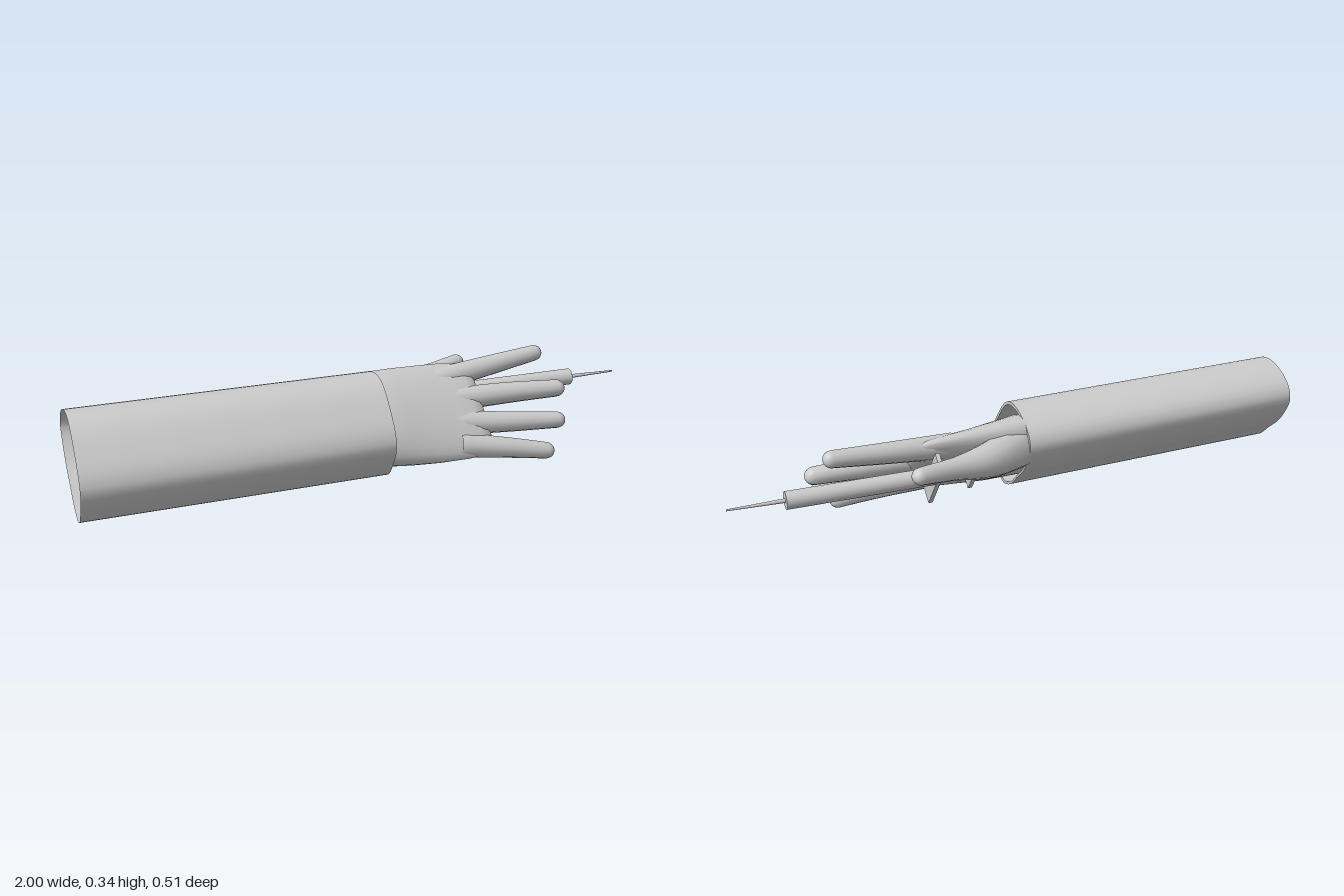
import * as THREE from 'three';

const V = (x, y, z) => new THREE.Vector3(x, y, z);
const U = V(0, 0.7071, -0.7071); // across the hand, little finger to index
const W = V(0, 0.7071, 0.7071);  // out of the back of the hand
const TILT = -Math.PI / 4;

// Skin over closed rings of points, with an optional closed tip
function loft(rings, closeEnd = false) {
  const n = rings[0].length;
  const pos = rings.flat().flatMap(p => [p.x, p.y, p.z]);
  const idx = [];
  for (let i = 0; i < rings.length - 1; i++) {
    for (let j = 0; j < n; j++) {
      const a = i * n + j, b = i * n + (j + 1) % n;
      idx.push(a, b, a + n, b, b + n, a + n);
    }
  }
  if (closeEnd) {
    const base = (rings.length - 1) * n;
    for (let j = 1; j < n - 1; j++) idx.push(base, base + j, base + j + 1);
  }
  const g = new THREE.BufferGeometry();
  g.setAttribute('position', new THREE.Float32BufferAttribute(pos, 3));
  g.setIndex(idx);
  g.computeVertexNormals();
  return g;
}

// Elliptical ring round c
function oval(c, e1, e2, a, b, n) {
  return Array.from({ length: n }, (_, j) => {
    const t = j / n * Math.PI * 2;
    return c.clone().addScaledVector(e1, a * Math.cos(t)).addScaledVector(e2, b * Math.sin(t));
  });
}

// Tapered finger along a path, with a rounded tip
function limb(points, radii, sides = 12) {
  const curve = new THREE.CatmullRomCurve3(points);
  const length = curve.getLength();
  const tipR = radii[radii.length - 1];
  const rings = [];
  const stops = [];
  for (let i = 0; i < 10; i++) stops.push([i / 10 * (1 - tipR / length), 1]);
  for (let i = 0; i <= 5; i++) {
    const a = i / 5 * Math.PI / 2;
    stops.push([1 - tipR / length * (1 - Math.sin(a)), Math.max(Math.cos(a), 0.02)]);
  }
  for (const [t, k] of stops) {
    const f = t * (radii.length - 1), i = Math.min(Math.floor(f), radii.length - 2);
    const r = THREE.MathUtils.lerp(radii[i], radii[i + 1], f - i) * k;
    const d = curve.getTangent(t);
    const e2 = d.clone().cross(U).normalize();
    const e1 = e2.clone().cross(d);
    rings.push(oval(curve.getPoint(t), e1, e2, r, r, sides));
  }
  return loft(rings, true);
}

export function createModel() {
  const model = new THREE.Group();
  const grey = new THREE.MeshStandardMaterial({ color: 0xcccccc, side: THREE.DoubleSide });
  grey.name = 'light grey';
  const add = (name, geometry, parent = model) => {
    const m = new THREE.Mesh(geometry, grey);
    m.name = name;
    parent.add(m);
    return m;
  };

  // Sleeve: open tube with a domed back and a flatter underside, [z, y] at the cuff
  const section = [
    [0.219, 0.145], [0.19, 0.08], [0.15, 0.029], [0.109, 0.017], [0.046, 0.041], [-0.007, 0.086],
    [-0.06, 0.13], [-0.1, 0.18], [-0.125, 0.235], [-0.11, 0.28], [-0.06, 0.318], [0.015, 0.34],
    [0.069, 0.334], [0.113, 0.309], [0.167, 0.252], [0.206, 0.198],
  ];
  const outline = new THREE.CatmullRomCurve3(section.map(([z, y]) => V(0, y, z)), true)
    .getPoints(48).slice(0, 48);
  const cuffRing = (x, s, dy = 0, dz = 0) => outline.map(p =>
    V(x, 0.18 + (p.y - 0.18) * s + dy, 0.045 + (p.z - 0.045) * s + dz));
  add('sleeve', loft([cuffRing(-1, 1, 0.012, 0.04), cuffRing(0.015, 1)]));
  add('cuffRim', loft([cuffRing(0.015, 1), cuffRing(0.015, 0.93)]));
  add('cuffLining', loft([cuffRing(0.015, 0.93), cuffRing(-0.06, 0.93)]));

  // Palm: flattened sections from wrist to knuckles [x, y, z, half width, half thickness]
  const hand = new THREE.Group();
  hand.name = 'hand';
  model.add(hand);
  const palm = [
    [-0.06, 0.185, 0.04, 0.165, 0.085], [0.02, 0.185, 0.04, 0.172, 0.085],
    [0.1, 0.18, 0.035, 0.178, 0.077], [0.2, 0.176, 0.033, 0.182, 0.062],
    [0.3, 0.174, 0.031, 0.182, 0.049], [0.36, 0.173, 0.03, 0.178, 0.041],
    [0.39, 0.173, 0.03, 0.165, 0.03], [0.405, 0.173, 0.03, 0.14, 0.012],
  ];
  add('palm', loft(palm.map(([x, y, z, a, b]) => oval(V(x, y, z), U, W, a, b, 28)), true), hand);

  // Fingers: knuckle, middle joint, tip
  const fingers = {
    littleFinger: [[0.28, 0.085, 0.125], [0.45, 0.06, 0.147], [0.62, 0.03, 0.165], 0.027],
    ringFinger: [[0.28, 0.145, 0.07], [0.48, 0.13, 0.09], [0.69, 0.115, 0.105], 0.027],
    middleFinger: [[0.28, 0.205, 0.01], [0.5, 0.205, 0.01], [0.73, 0.2, 0.018], 0.029],
    indexFinger: [[0.26, 0.26, -0.05], [0.48, 0.281, -0.078], [0.695, 0.302, -0.103], 0.027],
  };
  for (const [name, [a, b, c, r]] of Object.entries(fingers)) {
    add(name, limb([V(...a), V(...b), V(...c)], [0.042, r + 0.008, r]), hand);
  }
  add('thumb', limb(
    [V(0.03, 0.22, -0.045), V(0.16, 0.225, -0.13), V(0.3, 0.238, -0.183), V(0.45, 0.257, -0.238)],
    [0.075, 0.06, 0.036, 0.027]), hand);

  // Syringe held along the palm, pointing forward
  const syringe = new THREE.Group();
  syringe.name = 'syringe';
  model.add(syringe);
  const rod = (name, x0, x1, r0, r1) => {
    const g = new THREE.CylinderGeometry(r1, r0, x1 - x0, 20);
    g.rotateZ(-Math.PI / 2);
    g.translate((x0 + x1) / 2, 0, 0);
    return add(name, g, syringe);
  };
  const plate = (name, x, long, wide, y, z) => {
    const m = add(name, new THREE.BoxGeometry(0.014, long, wide), syringe);
    m.position.set(x, y, z);
    m.rotation.x = TILT + 0.1;
  };
  syringe.position.set(0, 0.19, -0.107);
  rod('barrel', 0.335, 0.82, 0.029, 0.029);
  rod('needle', 0.82, 1, 0.007, 0.003);
  rod('plunger', 0.215, 0.335, 0.014, 0.014);
  plate('fingerFlange', 0.335, 0.215, 0.068, -0.018, 0.02);
  plate('thumbRest', 0.215, 0.1, 0.06, -0.012, 0.006);

  return model;
}
